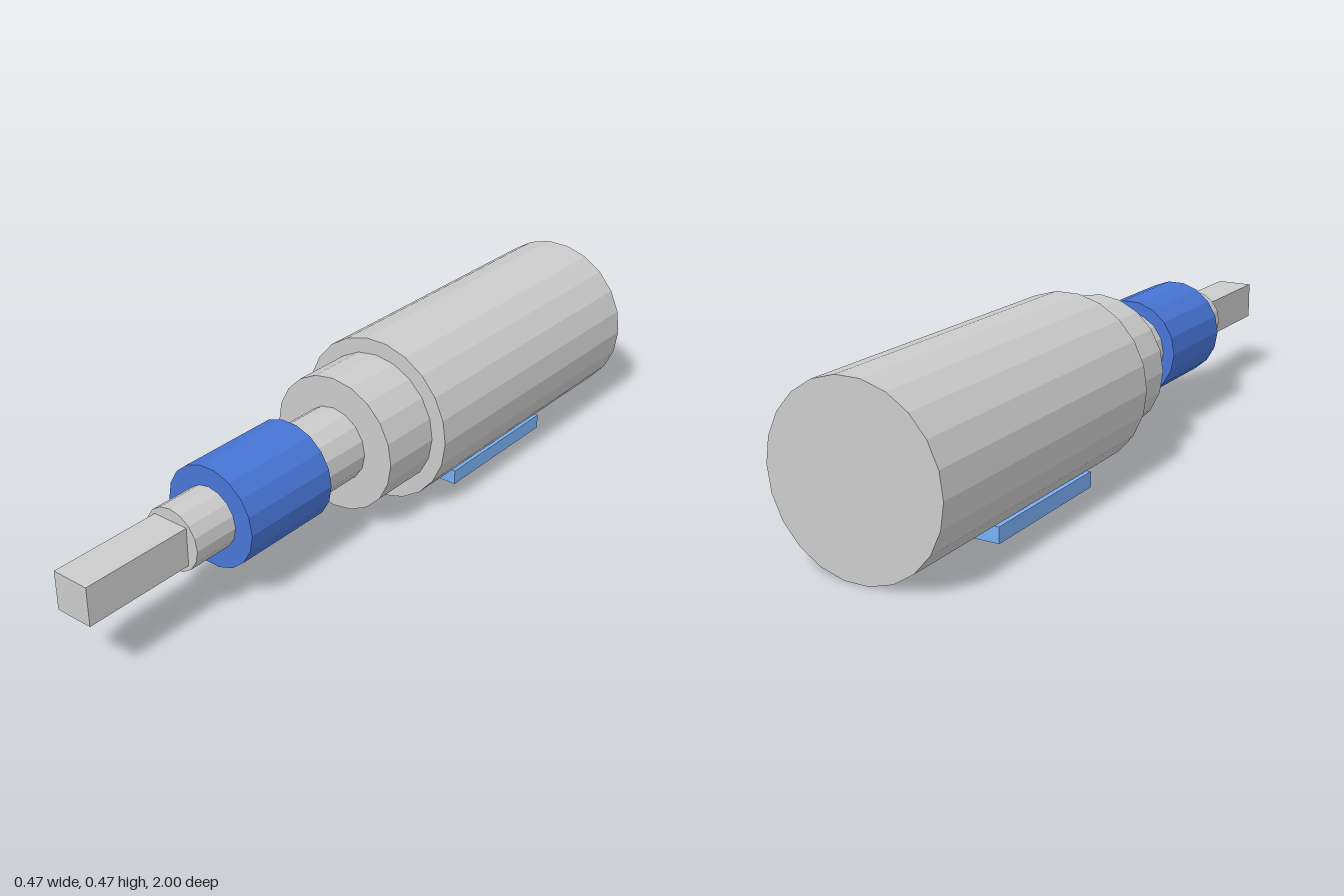
import * as THREE from 'three';

const AXIS_Y = 0.234;

export function createModel() {
  const model = new THREE.Group();
  const material = (color) => new THREE.MeshStandardMaterial({ color, flatShading: true });
  const grey = material(0xcccccc);
  const blue = material(0x4775d6);
  const lightBlue = material(0x78b0f2);

  const add = (name, geometry, mat, y, z) => {
    const mesh = new THREE.Mesh(geometry, mat);
    mesh.name = name;
    mesh.position.set(0, y, z);
    model.add(mesh);
  };

  // Stepped sections along z: name, radius, sides, back z, front z, material
  const sections = [
    ['body', 0.235, 22, -1, -0.09, grey],
    ['collar', 0.192, 20, -0.09, 0.09, grey],
    ['neck', 0.106, 16, 0.09, 0.265, grey],
    ['sleeve', 0.139, 18, 0.265, 0.56, blue],
    ['tipCollar', 0.085, 16, 0.56, 0.69, grey],
  ];
  for (const [name, radius, sides, back, front, mat] of sections) {
    // A corner of each polygon points to +x
    const geometry = new THREE.CylinderGeometry(radius, radius, front - back, sides, 1, false, Math.PI / 2);
    geometry.rotateX(Math.PI / 2);
    add(name, geometry, mat, AXIS_Y, (back + front) / 2);
  }

  // Square drive shaft at the front
  add('squareShaft', new THREE.BoxGeometry(0.105, 0.105, 0.31), grey, AXIS_Y, 0.845);

  // Flat foot plate crossing the underside of the body
  add('footPlate', new THREE.BoxGeometry(0.32, 0.042, 0.43), lightBlue, 0.031, -0.465);

  return model;
}
